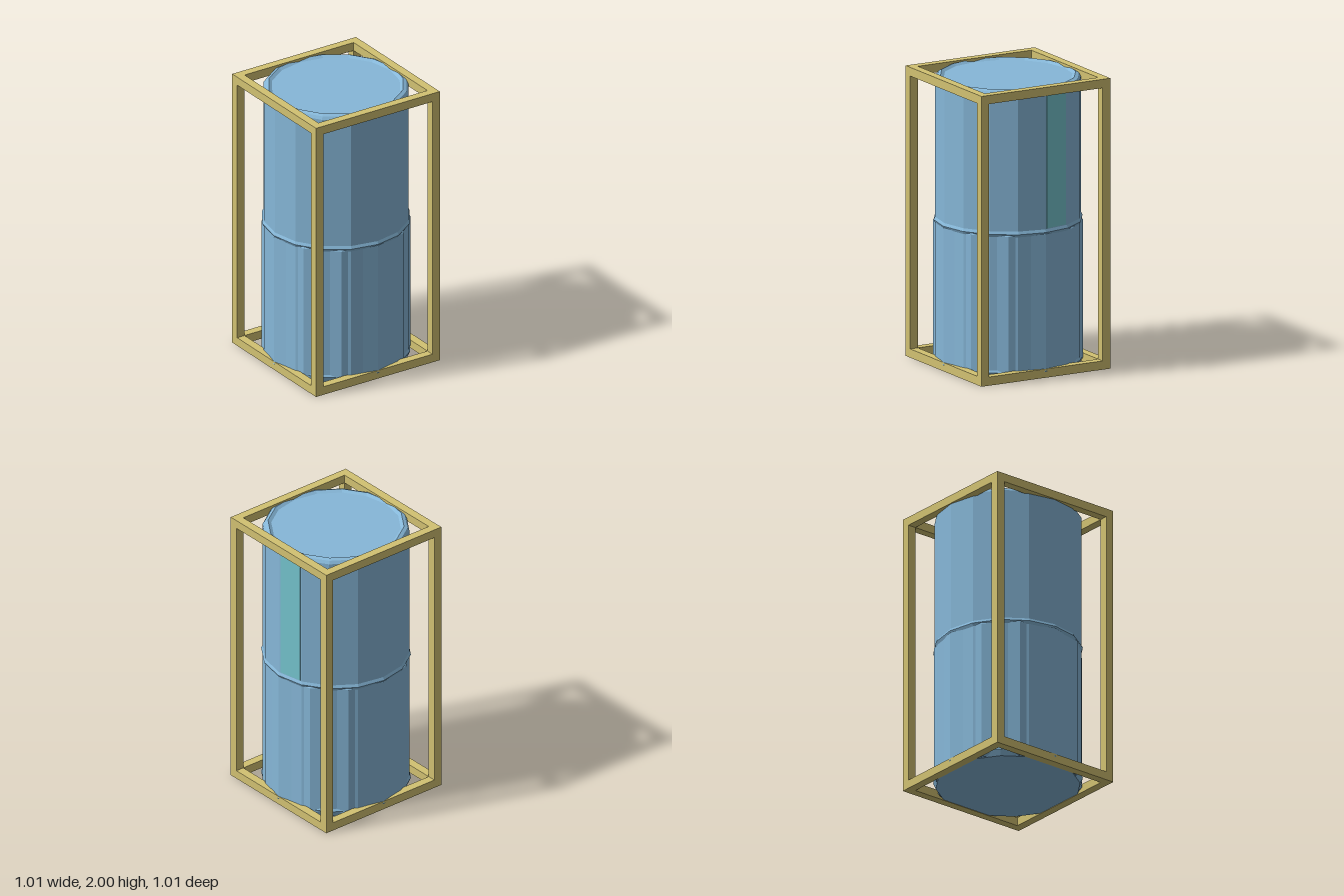
import * as THREE from 'three';

const brass = new THREE.MeshStandardMaterial({ color: 0xd2c272, flatShading: true });
brass.name = 'frame yellow';
const blue = new THREE.MeshStandardMaterial({ color: 0x86b7d8, flatShading: true });
blue.name = 'drum blue';
const teal = new THREE.MeshStandardMaterial({ color: 0x76c5cf, flatShading: true });
teal.name = 'panel teal';

function addMesh(parent, name, geometry, material, x = 0, y = 0, z = 0) {
  const mesh = new THREE.Mesh(geometry, material);
  mesh.name = name;
  mesh.position.set(x, y, z);
  parent.add(mesh);
  return mesh;
}

// Faceted solid of revolution, profile listed from bottom to top
function faceted(profile, sides) {
  const points = profile.map(([r, y]) => new THREE.Vector2(r, y));
  const geometry = new THREE.LatheGeometry(points, sides).toNonIndexed();
  geometry.computeVertexNormals();
  return geometry;
}

export function createModel() {
  const model = new THREE.Group();
  model.name = 'framedDrum';

  // Open box frame: four posts and four rails at each end
  const frame = new THREE.Group();
  frame.name = 'frame';
  model.add(frame);
  const bar = 0.06, edge = 0.5 - bar / 2;
  for (const s of [-1, 1]) {
    for (const t of [-1, 1]) {
      addMesh(frame, 'post', new THREE.BoxGeometry(bar, 2 - 2 * bar, bar), brass, s * edge, 1, t * edge);
    }
    for (const y of [bar / 2, 2 - bar / 2]) {
      addMesh(frame, 'sideRail', new THREE.BoxGeometry(bar, bar, 1), brass, s * edge, y, 0);
      addMesh(frame, 'crossRail', new THREE.BoxGeometry(1 - 2 * bar, bar, bar), brass, 0, y, s * edge);
    }
  }

  // Sixteen-sided drum with a hoop at the base and the middle, and a dished lid
  const body = 0.493;
  addMesh(model, 'drum', faceted([
    [0, 0.003], [0.485, 0.003], [0.503, 0.045], [body, 0.062],
    [body, 0.98], [0.503, 1.0], [body, 1.02],
    [body, 1.96], [0.48, 1.98], [0.457, 1.99], [0.435, 1.975], [0, 1.975],
  ], 16), blue);

  // Twelve-sided lower sleeve whose corners show through the drum wall
  addMesh(model, 'lowerSleeve', faceted([
    [0, 0.008], [0.485, 0.008], [0.5, 0.03], [0.5, 0.985], [0.49, 1.0], [0, 1.0],
  ], 12), blue);

  // Coloured panel on one upper facet, just behind the +x corner
  const angle = Math.PI / 2 + Math.PI / 16;
  const reach = body * Math.cos(Math.PI / 16) + 0.001;
  const panel = addMesh(model, 'sidePanel', new THREE.BoxGeometry(0.17, 0.93, 0.004), teal,
    Math.sin(angle) * reach, 1.49, Math.cos(angle) * reach);
  panel.rotation.y = angle;

  return model;
}
